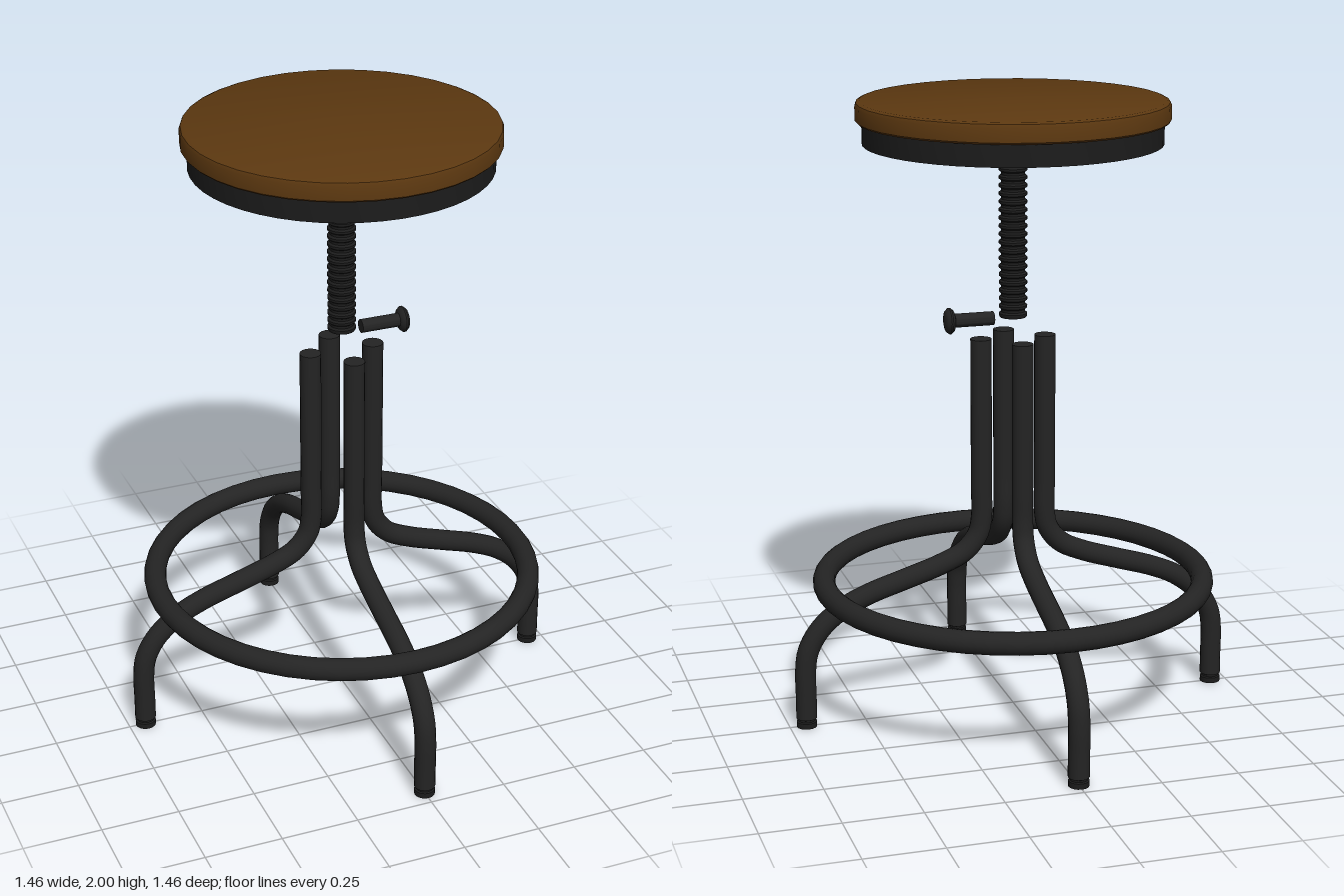
import * as THREE from 'three';
import { toCreasedNormals } from 'three/addons/utils/BufferGeometryUtils.js';

const mat = (name, color) => new THREE.MeshStandardMaterial({ name, color });

export function createModel() {
  const stool = new THREE.Group();
  stool.name = 'stool';
  const wood = mat('brown wood', 0x5c3810);
  const steel = mat('black tube steel', 0x242424);
  const dark = mat('dark iron', 0x1c1c1c);

  const add = (name, geometry, material, parent = stool) => {
    const mesh = new THREE.Mesh(geometry, material);
    mesh.name = name;
    parent.add(mesh);
    return mesh;
  };
  const v2 = ([x, y]) => new THREE.Vector2(x, y);
  // Profiles run from the bottom axis outward and up, so faces point out
  const turned = (profile, sides) =>
    toCreasedNormals(new THREE.LatheGeometry(profile.map(v2), sides), 0.6);

  // Seat with softened edges
  add('seat', turned([[0, 1.935], [0.485, 1.935], [0.491, 1.941], [0.491, 1.985],
    [0.487, 1.995], [0.476, 2], [0, 2]], 36), wood);

  // Pan under the seat, with a dished underside
  add('seatPan', turned([[0, 1.9], [0.08, 1.9], [0.16, 1.895], [0.27, 1.882], [0.37, 1.87],
    [0.44, 1.865], [0.47, 1.865], [0.47, 1.936], [0, 1.936]], 48), dark);

  // Collar that joins the screw to the pan
  add('collar', turned([[0, 1.82], [0.079, 1.82], [0.079, 1.905], [0, 1.905]], 24), dark);

  // Threaded height screw
  const thread = [[0, 1.31], [0.042, 1.31]];
  const turns = 20, pitch = 0.515 / turns;
  for (let i = 0; i < turns; i++) {
    const y = 1.31 + i * pitch;
    thread.push([0.045, y + pitch * 0.2], [0.045, y + pitch * 0.5],
      [0.038, y + pitch * 0.7], [0.038, y + pitch]);
  }
  thread.push([0, 1.825]);
  add('heightScrew', turned(thread, 24), dark);

  // Locking bolt, turned upright and laid along +x
  const bolt = add('lockingBolt', turned([[0, 0], [0.022, 0], [0.022, 0.128], [0.034, 0.132],
    [0.042, 0.141], [0.042, 0.146], [0.034, 0.155], [0.02, 0.159], [0, 0.16]], 20), steel);
  bolt.rotation.z = -Math.PI / 2;
  bolt.position.set(0.065, 1.309, 0);

  // Foot ring
  const ring = add('footRing', new THREE.TorusGeometry(0.615, 0.036, 16, 48), steel);
  ring.rotation.x = Math.PI / 2;
  ring.position.y = 0.44;

  // Four bent legs: straight ends joined by one smooth double bend
  const bend = new THREE.CatmullRomCurve3([
    [0.106, 0.75], [0.106, 0.66], [0.118, 0.6], [0.162, 0.545], [0.24, 0.507], [0.36, 0.468],
    [0.48, 0.43], [0.57, 0.388], [0.645, 0.325], [0.685, 0.255], [0.695, 0.19], [0.695, 0.1],
  ].map(([x, y]) => new THREE.Vector3(x, y, 0)), false, 'centripetal');
  const legPath = new THREE.CurvePath();
  legPath.add(new THREE.LineCurve3(new THREE.Vector3(0.106, 1.245, 0), new THREE.Vector3(0.106, 0.75, 0)));
  legPath.add(bend);
  legPath.add(new THREE.LineCurve3(new THREE.Vector3(0.695, 0.1, 0), new THREE.Vector3(0.695, 0.03, 0)));
  const tube = new THREE.TubeGeometry(legPath, 90, 0.034, 16, false);
  const topCap = new THREE.CircleGeometry(0.034, 16).rotateX(-Math.PI / 2).translate(0.106, 1.245, 0);
  const foot = turned([[0, 0], [0.033, 0], [0.033, 0.018], [0.028, 0.021],
    [0.028, 0.027], [0.034, 0.03], [0, 0.03]], 16).translate(0.695, 0, 0);

  for (let i = 0; i < 4; i++) {
    const leg = new THREE.Group();
    leg.name = 'leg' + (i + 1);
    leg.rotation.y = i * Math.PI / 2;
    add('legTube', tube, steel, leg);
    add('legTopCap', topCap, steel, leg);
    add('footPad', foot, dark, leg);
    stool.add(leg);
  }
  return stool;
}
